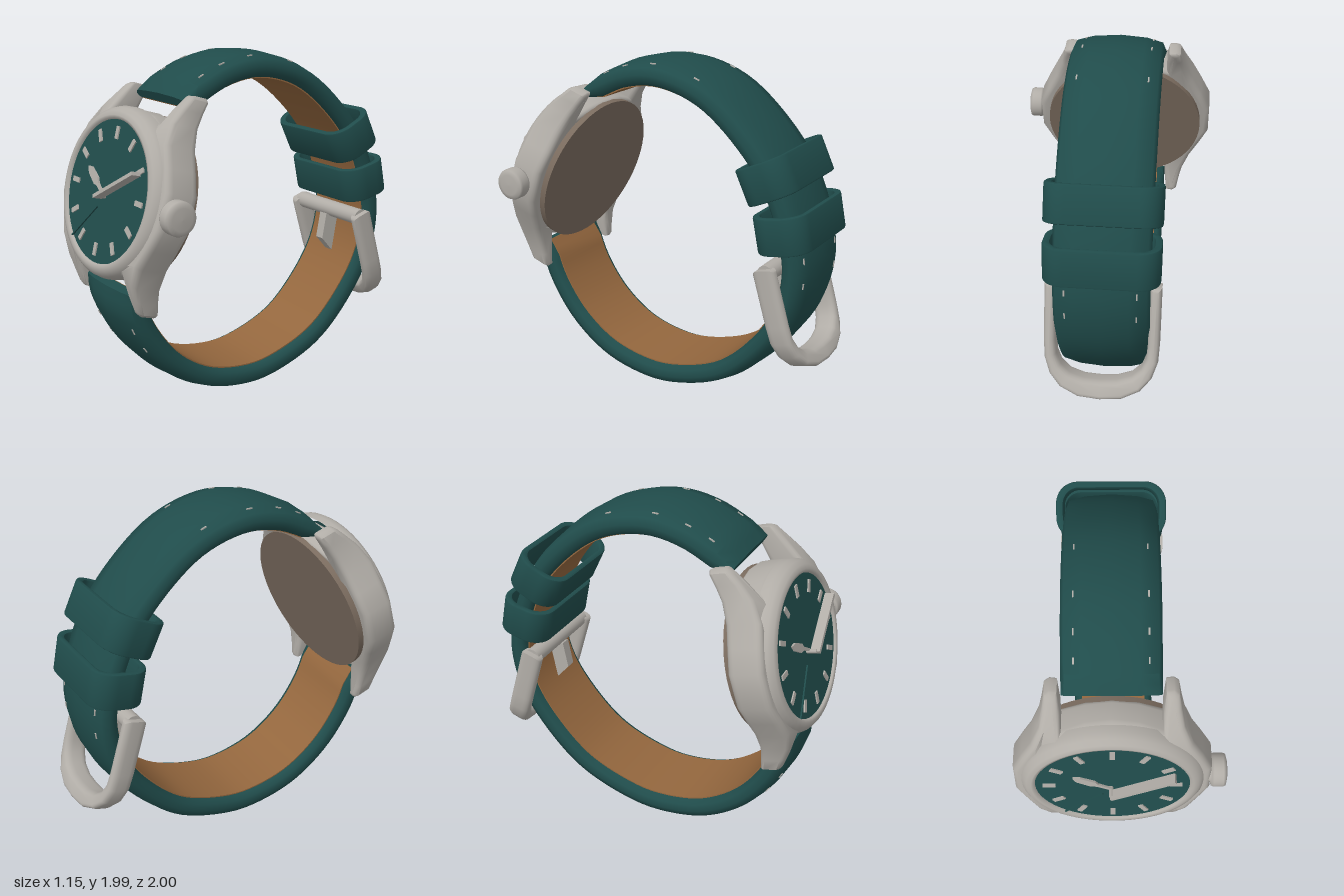
import * as THREE from 'three';
import { toCreasedNormals } from 'three/addons/utils/BufferGeometryUtils.js';

const CX = -0.045; // centre line of strap and case
const mat = (name, color, side = THREE.FrontSide) => {
  const m = new THREE.MeshStandardMaterial({ color, side });
  m.name = name;
  return m;
};
const steel = mat('steel', 0xb1ada7);
const teal = mat('teal', 0x204c4b, THREE.DoubleSide);
const tan = mat('tan leather', 0x94673e);
const brown = mat('case back brown', 0x7b6c5f);

function add(parent, name, geometry, material, x = 0, y = 0, z = 0) {
  const mesh = new THREE.Mesh(geometry, material);
  mesh.name = name;
  mesh.position.set(x, y, z);
  parent.add(mesh);
  return mesh;
}

// Moves every vertex by a rule
function deform(geometry, rule) {
  const p = geometry.attributes.position, v = new THREE.Vector3();
  for (let i = 0; i < p.count; i++) {
    rule(v.fromBufferAttribute(p, i));
    p.setXYZ(i, v.x, v.y, v.z);
  }
  return toCreasedNormals(geometry, 0.8);
}

const shapeOf = pts => new THREE.Shape(pts.map(([x, y]) => new THREE.Vector2(x, y)));
const profile = pts => pts.map(([r, y]) => new THREE.Vector2(r, y));

// Sweeps a counter-clockwise section [across, outward] along a path in the yz plane, thinning both ends
function sweep(path, section, steps) {
  const pos = [], idx = [], n = section.length;
  for (let i = 0; i <= steps; i++) {
    const p = path.getPointAt(i / steps), t = path.getTangentAt(i / steps);
    const thin = Math.min(1, 0.45 + 0.3 * Math.min(i, steps - i));
    for (const [u, v] of section) pos.push(p.x + u, p.y - t.z * v * thin, p.z + t.y * v * thin);
  }
  for (let i = 0; i < steps; i++) for (let j = 0; j < n; j++) {
    const a = i * n + j, b = i * n + (j + 1) % n;
    idx.push(a, a + n, b + n, a, b + n, b);
  }
  const e = steps * n;
  for (let j = 1; j < n - 1; j++) idx.push(0, j, j + 1, e, e + j + 1, e + j);
  const g = new THREE.BufferGeometry();
  g.setAttribute('position', new THREE.Float32BufferAttribute(pos, 3));
  g.setIndex(idx);
  return toCreasedNormals(g, 0.9);
}

function roundRect(w, h, r, Kind = THREE.Shape) {
  const s = new Kind(), x = w / 2, y = h / 2;
  s.absarc(x - r, y - r, r, 0, Math.PI / 2);
  s.absarc(-x + r, y - r, r, Math.PI / 2, Math.PI);
  s.absarc(-x + r, -y + r, r, Math.PI, Math.PI * 1.5);
  s.absarc(x - r, -y + r, r, Math.PI * 1.5, Math.PI * 2);
  s.closePath();
  return s;
}

// Slightly flattened dial with its bezel, markers and hands
function buildFace() {
  const face = new THREE.Group(), flat = 0.945;
  face.name = 'face';
  face.rotation.x = 0.04;
  const ring = [[0.5, 0], [0.499, 0.04], [0.486, 0.075], [0.462, 0.1], [0.436, 0.109], [0.418, 0.104], [0.413, 0.085]];
  const bezel = new THREE.LatheGeometry(profile(ring), 56);
  add(face, 'bezel', bezel.rotateX(Math.PI / 2).scale(1, flat, 1), steel);
  add(face, 'dial', new THREE.CircleGeometry(0.418, 56).scale(1, flat, 1), teal, 0, 0, 0.092);

  for (let i = 0; i < 12; i++) {
    const a = i * Math.PI / 6;
    add(face, 'hourMarker', new THREE.BoxGeometry(0.07, 0.028, 0.009), steel,
      0.34 * Math.cos(a), 0.34 * flat * Math.sin(a), 0.0955).rotation.z = a;
  }

  const hour = shapeOf([[0, -0.008], [0.08, -0.01], [0.11, -0.025], [0.2, -0.022], [0.235, 0],
    [0.2, 0.022], [0.11, 0.025], [0.08, 0.01], [0, 0.008]]);
  add(face, 'hourHand', new THREE.ExtrudeGeometry(hour, { depth: 0.012, bevelEnabled: false }), steel, -0.01, -0.02, 0.1)
    .rotation.z = 2.6;
  add(face, 'minuteHand', new THREE.BoxGeometry(0.39, 0.02, 0.055).translate(0.195, 0, 0), steel, -0.01, -0.037, 0.14)
    .rotation.z = 0.51;
  add(face, 'secondHand', new THREE.BoxGeometry(0.3, 0.008, 0.009).translate(0.225, 0, 0), teal, 0, -0.04, 0.1)
    .rotation.z = Math.PI * 1.25;
  add(face, 'handPost', new THREE.CylinderGeometry(0.012, 0.012, 0.06, 12).rotateX(Math.PI / 2), steel, -0.008, -0.03, 0.12);
  return face;
}

function buildHead() {
  const head = new THREE.Group();
  head.name = 'watchHead';
  head.position.set(CX, 1.27, 0.8);
  head.rotation.x = -0.297;
  head.add(buildFace());

  // Case and four lugs: one mirrored outline, with the lugs bent backward
  const quarter = [[0.53, 0.1], [0.475, 0.22], [0.42, 0.33], [0.375, 0.44], [0.355, 0.52], [0.342, 0.585],
    [0.315, 0.602], [0.275, 0.597], [0.262, 0.5], [0.26, 0.41], [0.14, 0.45]];
  const top = [...quarter, [0, 0.465], ...quarter.map(([x, y]) => [-x, y]).reverse()];
  const outline = shapeOf([...top, ...top.map(([x, y]) => [x, -y]).reverse()]);
  outline.holes.push(new THREE.Path().absarc(0, 0, 0.38, 0, Math.PI * 2, true));
  const body = new THREE.ExtrudeGeometry(outline, {
    depth: 0.12, bevelThickness: 0.04, bevelSize: 0.032, bevelOffset: -0.032, bevelSegments: 4, curveSegments: 24,
  });
  body.translate(0, 0, -0.06);
  add(head, 'caseWithLugs', deform(body, v => {
    const k = Math.max(0, (Math.abs(v.y) - 0.36) / 0.24);
    v.z = v.z * (1 - 0.38 * Math.min(1, k)) - 0.03 - 0.11 * k ** 1.2;
  }), steel);
  const back = new THREE.CylinderGeometry(0.475, 0.475, 0.07, 56).rotateX(Math.PI / 2);
  add(head, 'caseBack', back.scale(1, 0.965, 1), brown, 0, 0, -0.132);

  // Crown with a narrow stem
  const crown = [[0, 0.47], [0.06, 0.47], [0.062, 0.525], [0.086, 0.532], [0.092, 0.545], [0.092, 0.595],
    [0.086, 0.609], [0.06, 0.616], [0, 0.618]];
  add(head, 'crown', new THREE.LatheGeometry(profile(crown), 28).rotateZ(-Math.PI / 2), steel, 0, -0.012, 0);
  return head;
}

function buildStrap() {
  const strap = new THREE.Group();
  strap.name = 'strap';
  strap.position.x = CX;
  // Loop of [y, z] points from the upper lugs, over the back, to the lower lugs
  const path = new THREE.CatmullRomCurve3([[1.765, 0.535], [1.81, 0.45], [1.9, 0.25], [1.929, 0.02], [1.85, -0.27],
    [1.64, -0.54], [1.41, -0.718], [1.133, -0.825], [0.919, -0.852], [0.678, -0.8], [0.447, -0.655], [0.222, -0.415],
    [0.103, -0.11], [0.081, 0.1], [0.142, 0.395], [0.303, 0.635], [0.517, 0.796], [0.7, 0.868], [0.77, 0.885],
  ].map(([y, z]) => new THREE.Vector3(0, y, z)));
  add(strap, 'strapLeather', sweep(path, [[0.225, -0.066], [0.25, -0.045], [0.258, -0.005], [0.24, 0.036], [0.15, 0.06],
    [0, 0.071], [-0.15, 0.06], [-0.24, 0.036], [-0.258, -0.005], [-0.25, -0.045], [-0.225, -0.066]], 80), teal);
  add(strap, 'strapLining', sweep(path, [[0.21, -0.073], [0.21, -0.06], [-0.21, -0.06], [-0.21, -0.073]], 80), tan);

  // Small stitches along both edges
  for (const t of [0.04, 0.07, 0.11, 0.17, 0.42, 0.45, 0.92, 0.95]) for (const s of [-1, 1]) {
    const p = path.getPointAt(t), d = path.getTangentAt(t), v = 0.05;
    add(strap, 'stitch', new THREE.BoxGeometry(0.008, 0.008, 0.035), steel, s * 0.19, p.y - d.z * v, p.z + d.y * v)
      .rotation.x = Math.atan2(-d.y, d.z);
  }

  // Two keeper loops around the strap
  const band = roundRect(0.62, 0.32, 0.12);
  band.holes.push(roundRect(0.54, 0.25, 0.09, THREE.Path));
  const keeper = new THREE.ExtrudeGeometry(band, {
    depth: 0.19, bevelThickness: 0.01, bevelSize: 0.01, bevelOffset: -0.01, bevelSegments: 2, curveSegments: 6,
  }).translate(0, 0, -0.095);
  const keeperGeo = toCreasedNormals(keeper, 0.65);
  for (const [y, z, ty, tz] of [[1.45, -0.67, -0.9, -0.43], [1.17, -0.772, -0.97, -0.2]])
    add(strap, 'keeperLoop', keeperGeo, teal, 0, y, z).rotation.x = Math.atan2(-ty, tz);
  return strap;
}

function buildBuckle() {
  const buckle = new THREE.Group();
  buckle.name = 'buckle';
  buckle.position.set(CX, 0.94, -0.715);

  // U-shaped frame whose closed end curls outward
  const outer = [[0.315, 0.03], [0.315, -0.15], [0.315, -0.3], [0.31, -0.4], [0.28, -0.49], [0.22, -0.56], [0.12, -0.605]];
  const inner = [[0.25, 0.03], [0.25, -0.15], [0.25, -0.3], [0.245, -0.38], [0.22, -0.44], [0.17, -0.485], [0.09, -0.51]];
  const flip = pts => pts.map(([x, y]) => [-x, y]).reverse();
  const frame = shapeOf([...flip(outer).reverse(), [0, -0.615], ...[...outer].reverse(),
    ...inner, [0, -0.515], ...flip(inner)]);
  const geo = new THREE.ExtrudeGeometry(frame, {
    depth: 0.055, bevelThickness: 0.04, bevelSize: 0.026, bevelOffset: -0.026, bevelSegments: 4,
  }).translate(0, 0, -0.0275);
  add(buckle, 'buckleFrame', deform(geo, v => {
    const k = Math.max(0, (-v.y - 0.34) / 0.27);
    v.z -= 0.05 * k * k;
  }), steel).rotation.x = 0.29;

  // Cross pin and tongue
  add(buckle, 'bucklePin', new THREE.CylinderGeometry(0.05, 0.05, 0.56, 20).rotateZ(Math.PI / 2), steel);
  const tongue = shapeOf([[0.06, -0.02], [0.09, -0.18], [0.01, -0.27], [-0.03, -0.06]]);
  add(buckle, 'buckleTongue', new THREE.ExtrudeGeometry(tongue, { depth: 0.06, bevelEnabled: false })
    .translate(0, 0, -0.03).rotateY(-Math.PI / 2), steel);
  return buckle;
}

export function createModel() {
  const model = new THREE.Group();
  model.name = 'wristwatch';
  model.add(buildHead(), buildStrap(), buildBuckle());
  return model;
}
